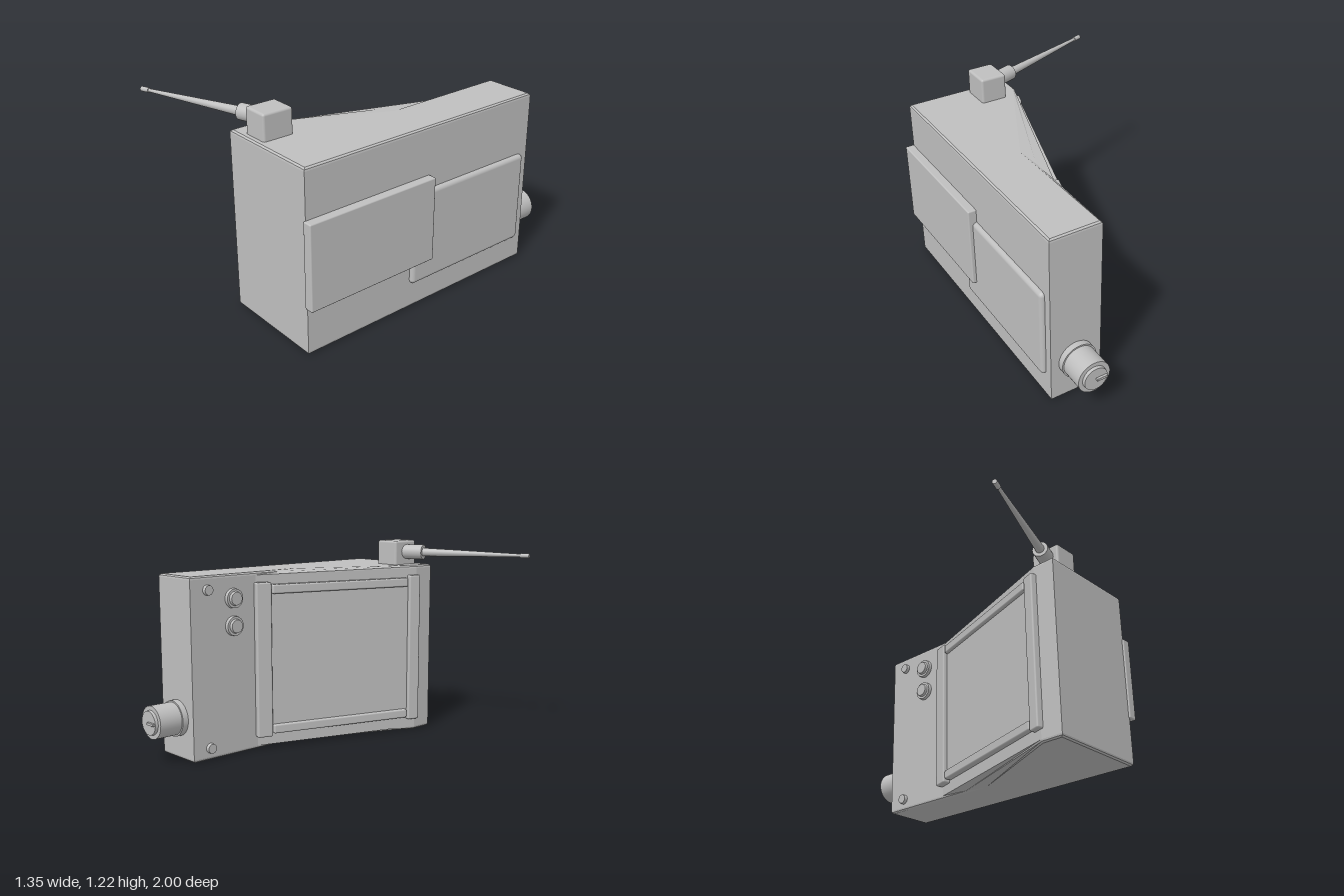
import * as THREE from 'three';
import { RoundedBoxGeometry } from 'three/addons/geometries/RoundedBoxGeometry.js';

const grey = new THREE.MeshStandardMaterial({ color: 0xbfbfbf });
grey.name = 'plain grey';

function add(parent, name, geometry, x = 0, y = 0, z = 0) {
  const mesh = new THREE.Mesh(geometry, grey);
  mesh.name = name;
  mesh.position.set(x, y, z);
  parent.add(mesh);
  return mesh;
}

// Soft-edged box given by its lower and upper corners
function block(parent, name, [x0, y0, z0], [x1, y1, z1], r = 0.01) {
  return add(parent, name, new RoundedBoxGeometry(x1 - x0, y1 - y0, z1 - z0, 2, r),
    (x0 + x1) / 2, (y0 + y1) / 2, (z0 + z1) / 2);
}

// Turned part along an axis, from [radius, distance] pairs with hard edges
function turned(parent, name, steps, sides = 32) {
  const group = new THREE.Group();
  group.name = name;
  steps.forEach(([r0, r1, from, to], i) => {
    add(group, `${name}Section${i + 1}`,
      new THREE.CylinderGeometry(r1, r0, to - from, sides), 0, (from + to) / 2, 0);
  });
  parent.add(group);
  return group;
}

// Wedge-shaped case, lofted through outlines of six corners (x, z)
function caseGeometry() {
  const outline = (inset, fx, fz) => [
    [0.31 + inset, -0.79 + inset], [0.62 - inset, -0.79 + inset],
    [0.62 - inset, 0.835 - inset], [-0.02 + inset, 0.835 - inset],
    [-0.02 + inset, 0.7], [fx, fz],
  ];
  const H = 1.065;
  const cap = outline(0.012, 0.33, 0);
  const rim = outline(0.002, 0.312, -0.14);
  const wall = outline(0, 0.31, -0.33);
  const layers = [[0, cap], [0.008, rim], [0.018, wall],
    [H - 0.018, wall], [H - 0.008, rim], [H, cap]];
  const pos = [];
  const put = (layer, i) => pos.push(layer[1][i][0], layer[0], layer[1][i][1]);
  for (let l = 0; l < layers.length - 1; l++) {
    const a = layers[l], b = layers[l + 1];
    for (let i = 0; i < 6; i++) {
      const j = (i + 1) % 6;
      put(a, i); put(b, i); put(a, j);
      put(b, i); put(b, j); put(a, j);
    }
  }
  // Caps fan out from the inner corner
  const bottom = layers[0], top = layers[5];
  for (let i = 0; i < 4; i++) {
    put(bottom, 5); put(bottom, i); put(bottom, i + 1);
    put(top, 5); put(top, i + 1); put(top, i);
  }
  const g = new THREE.BufferGeometry();
  g.setAttribute('position', new THREE.Float32BufferAttribute(pos, 3));
  g.computeVertexNormals();
  return g;
}

export function createModel() {
  const model = new THREE.Group();
  model.name = 'handheldDevice';

  add(model, 'case', caseGeometry());

  // Framed screen lying on the slanted face; local z runs along the slope
  const screen = new THREE.Group();
  screen.name = 'screenFrame';
  screen.position.set(0.31, 0, -0.33);
  screen.rotation.y = -0.298;
  model.add(screen);
  block(screen, 'screenPanel', [-0.02, 0.1, 0.04], [0.005, 0.98, 1.06], 0.004);
  block(screen, 'rearFrameBar', [-0.045, 0.075, -0.012], [0.005, 1.005, 0.084]);
  block(screen, 'frontFrameBar', [-0.045, 0.075, 1.018], [0.005, 1.005, 1.095]);
  block(screen, 'lowerFrameBar', [-0.043, 0.09, 0.092], [0.005, 0.145, 1.01]);
  block(screen, 'upperFrameBar', [-0.043, 0.935, 0.092], [0.005, 0.99, 1.01]);

  // Overlapping plates on the left side
  block(model, 'frontSidePlate', [0.612, 0.285, 0], [0.67, 0.785, 0.845], 0.008);
  block(model, 'rearSidePlate', [0.59, 0.155, -0.74], [0.646, 0.705, 0.13], 0.025);

  // Buttons and screws on the narrow right face
  for (const y of [0.925, 0.765]) {
    const button = turned(model, 'button', [[0.058, 0.056, 0, 0.022], [0.042, 0.038, 0.022, 0.038]]);
    button.position.set(0.31, y, -0.495);
    button.rotation.z = Math.PI / 2;
  }
  for (const y of [0.985, 0.07]) {
    const screw = turned(model, 'screw', [[0.03, 0.028, 0, 0.022]], 20);
    screw.position.set(0.31, y, -0.675);
    screw.rotation.z = Math.PI / 2;
  }

  // Rear knob with a raised grip
  const knob = turned(model, 'rearKnob', [
    [0.106, 0.106, -0.01, 0.036], [0.097, 0.097, 0.036, 0.178], [0.072, 0.07, 0.178, 0.196],
  ], 40);
  knob.position.set(0.465, 0.243, -0.79);
  knob.rotation.x = -Math.PI / 2;
  block(model, 'knobGrip', [0.4, 0.235, -1.0], [0.465, 0.251, -0.98], 0.003);

  // Antenna mount and swung-out antenna
  block(model, 'antennaMount', [0.08, 1.04, 0.615], [0.24, 1.215, 0.8], 0.014);
  const antenna = turned(model, 'antenna', [
    [0.046, 0.046, 0, 0.135], [0.026, 0.009, 0.135, 0.78], [0.014, 0.014, 0.765, 0.818],
  ], 24);
  antenna.position.set(0.1, 1.145, 0.712);
  antenna.quaternion.setFromUnitVectors(
    new THREE.Vector3(0, 1, 0), new THREE.Vector3(-0.943, 0, 0.333).normalize());

  return model;
}
